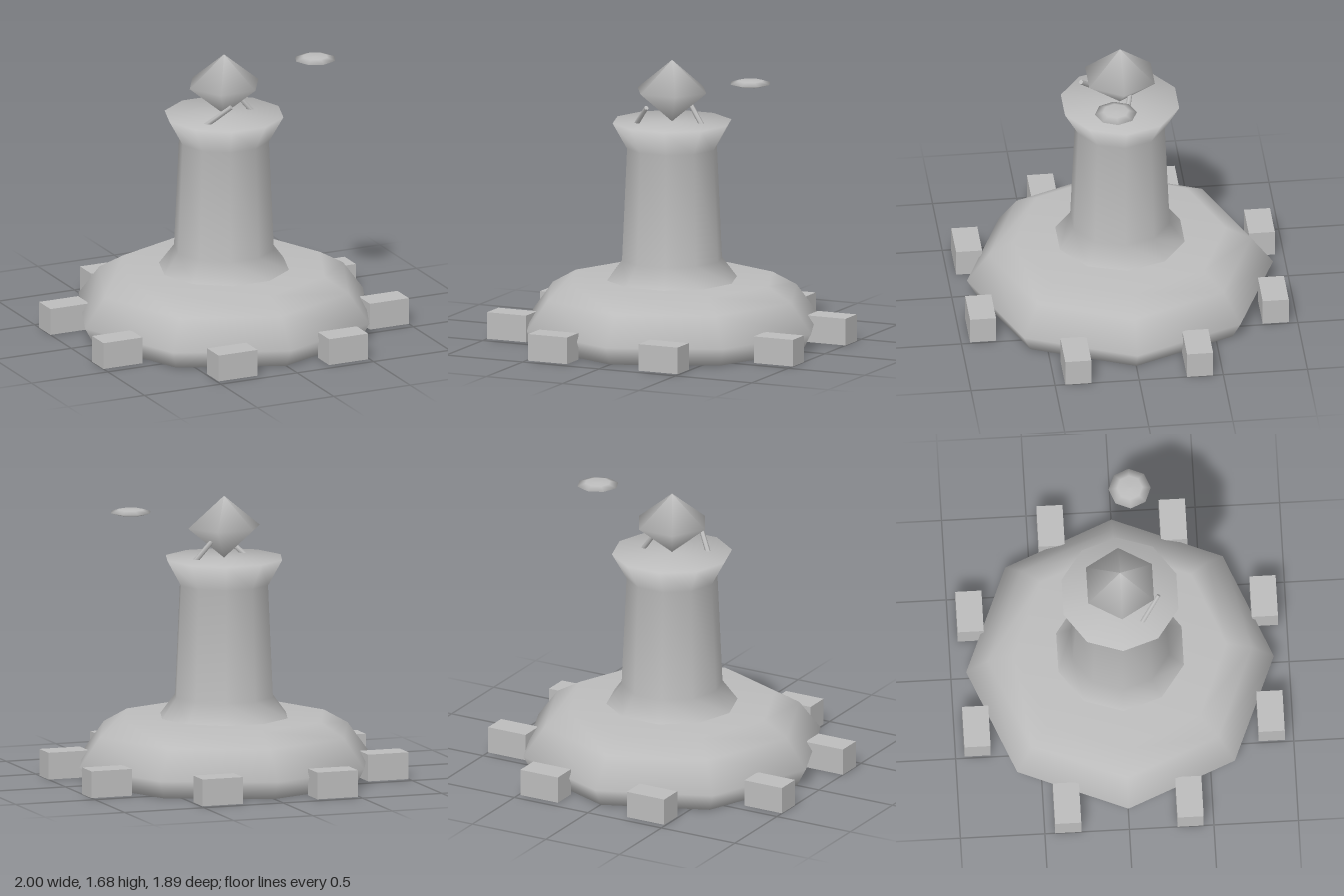
import * as THREE from 'three';

const stone = new THREE.MeshStandardMaterial({ color: 0xbcbcbc });
stone.name = 'grey stone';

export function createModel() {
  const model = new THREE.Group();
  model.name = 'beaconTower';

  const add = (name, geometry, x = 0, y = 0, z = 0) => {
    const mesh = new THREE.Mesh(geometry, stone);
    mesh.name = name;
    mesh.position.set(x, y, z);
    model.add(mesh);
    return mesh;
  };

  // Low-sided turned solid, smooth shaded, with a corner on the x axis
  const turned = (profile, sides) => new THREE.LatheGeometry(
    profile.map(([r, y]) => new THREE.Vector2(r, y)), sides, Math.PI / 2);

  // Eight-sided rounded mound, closed above and below
  add('mound', turned([[0, 0], [0.85, 0], [0.91, 0.11], [0.78, 0.285], [0.63, 0.37], [0, 0.37]], 8));

  // Ten-sided tower with a flared foot and crown
  add('tower', turned([[0.39, 0.37], [0.30, 0.49], [0.27, 1.16], [0.357, 1.315], [0, 1.315]], 10));

  // Crystal on the crown
  add('crystal', turned([[0, -0.185], [0.225, 0], [0, 0.185]], 6), 0, 1.5, 0);

  // Thin floating disc beside the crystal
  add('floatingDisc', turned([[0, -0.02], [0.075, -0.016], [0.125, 0], [0.075, 0.016], [0, 0.02]], 8),
    0.555, 1.605, 0.088);

  // Leaning rods around the crystal
  const rod = (name, from, to) => {
    const a = new THREE.Vector3(...from), b = new THREE.Vector3(...to);
    const dir = b.clone().sub(a);
    const mesh = add(name, new THREE.CylinderGeometry(0.014, 0.016, dir.length(), 6));
    mesh.position.copy(a).add(b).multiplyScalar(0.5);
    mesh.quaternion.setFromUnitVectors(new THREE.Vector3(0, 1, 0), dir.normalize());
  };
  rod('rightRod', [-0.19, 1.29, 0.11], [-0.06, 1.43, 0.225]);
  rod('leftRod', [0.2, 1.29, -0.01], [0.09, 1.43, -0.05]);

  // Blocks ringing the mound
  const block = new THREE.BoxGeometry(0.255, 0.16, 0.155);
  for (const sx of [-1, 1]) {
    for (const sz of [-1, 1]) {
      add('sideBlock', block, sx * 0.8725, 0.08, sz * 0.362);
      add('endBlock', block, sx * 0.362, 0.08, sz * 0.87);
    }
  }
  return model;
}
